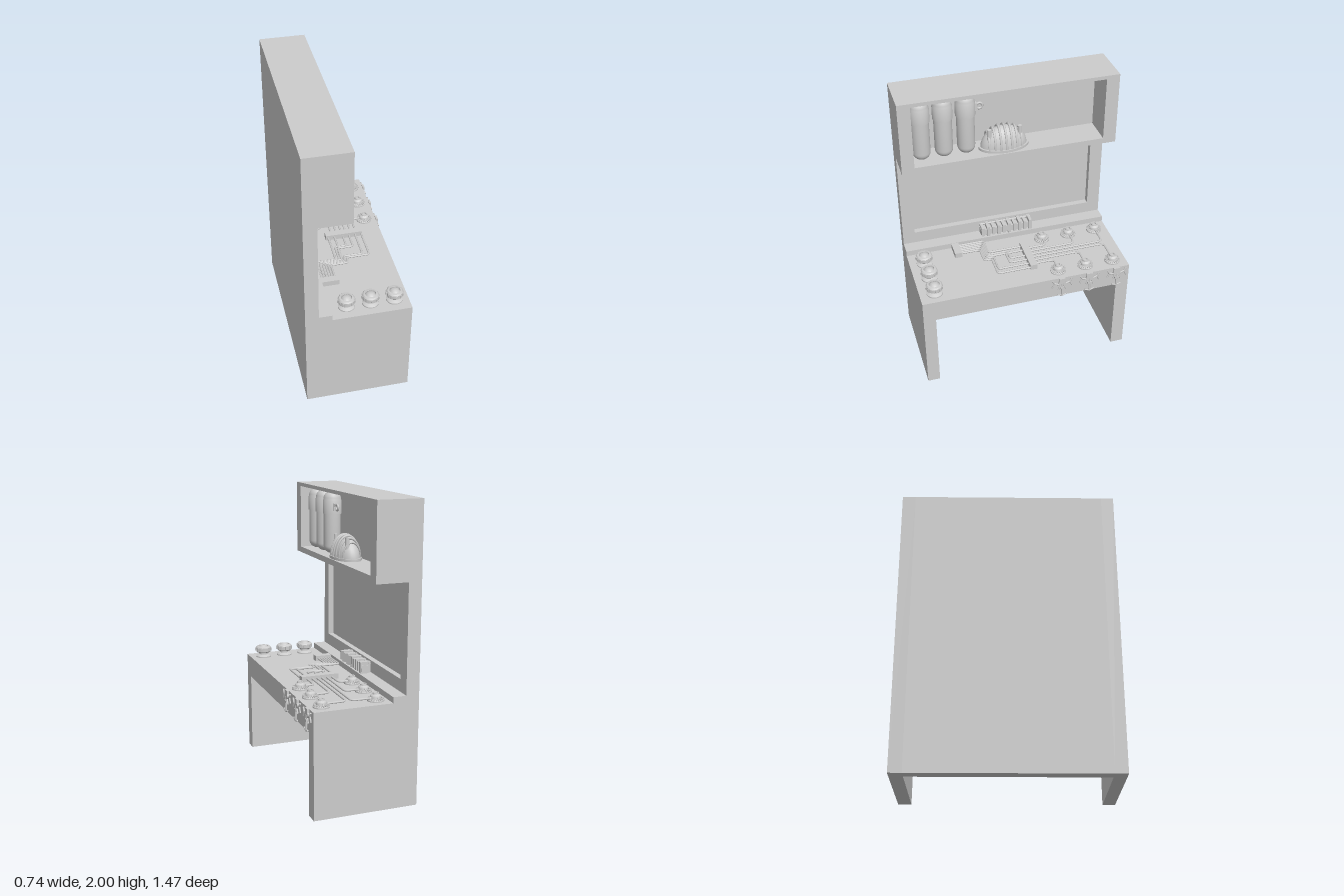
import * as THREE from 'three';
import { toCreasedNormals } from 'three/addons/utils/BufferGeometryUtils.js';

const material = new THREE.MeshStandardMaterial({ color: 0xcccccc, side: THREE.DoubleSide });
const V = (x, y, z) => new THREE.Vector3(x, y, z);

function add(parent, name, geometry, x = 0, y = 0, z = 0) {
  const mesh = new THREE.Mesh(geometry, material);
  mesh.name = name;
  mesh.position.set(x, y, z);
  parent.add(mesh);
  return mesh;
}
function addGroup(parent, name, x = 0, y = 0, z = 0) {
  const g = new THREE.Group();
  g.name = name;
  g.position.set(x, y, z);
  parent.add(g);
  return g;
}
const box = (p, name, w, h, d, x, y, z) => add(p, name, new THREE.BoxGeometry(w, h, d), x, y, z);
const lathe = (pts, n = 32) =>
  toCreasedNormals(new THREE.LatheGeometry(pts.map(([r, y]) => new THREE.Vector2(r, y)), n), 0.6);

// Straight round bar between two points
function bar(parent, name, a, b, r) {
  const d = b.clone().sub(a);
  const mesh = add(parent, name, new THREE.CylinderGeometry(r, r, d.length(), 10));
  mesh.position.copy(a).add(b).multiplyScalar(0.5);
  mesh.quaternion.setFromUnitVectors(V(0, 1, 0), d.normalize());
  return mesh;
}
// Pipe along a polyline with rounded corners
function pipe(parent, name, pts, r = 0.007, bend = 0.025) {
  const path = new THREE.CurvePath();
  let last = pts[0];
  for (let i = 1; i < pts.length - 1; i++) {
    const p = pts[i];
    const toward = q => p.clone().add(q.clone().sub(p).setLength(Math.min(bend, q.distanceTo(p) * 0.45)));
    const a = toward(pts[i - 1]), b = toward(pts[i + 1]);
    path.add(new THREE.LineCurve3(last, a));
    path.add(new THREE.QuadraticBezierCurve3(a, p, b));
    last = b;
  }
  path.add(new THREE.LineCurve3(last, pts[pts.length - 1]));
  add(parent, name, new THREE.TubeGeometry(path, 80, r, 8));
}
// Cabinet slice: an x-y profile extruded from z0 to z1
function slice(parent, name, pts, z0, z1) {
  const shape = new THREE.Shape(pts.map(p => new THREE.Vector2(...p)));
  add(parent, name, new THREE.ExtrudeGeometry(shape, { depth: z1 - z0, bevelEnabled: false }), 0, 0, z0);
}

// Burner: wide foot, toothed ring and narrow crown
function burner(parent, x, z) {
  const g = addGroup(parent, 'burner', x, 0.72, z);
  add(g, 'burnerBody', lathe([[0.055, 0], [0.055, 0.008], [0.045, 0.012], [0.033, 0.014], [0.03, 0.028],
    [0.036, 0.03], [0.034, 0.036], [0.022, 0.045], [0.02, 0.055], [0.014, 0.055], [0.012, 0.045], [0, 0.045]]));
  for (let i = 0; i < 20; i++) {
    const a = i * Math.PI / 10;
    box(g, 'burnerTooth', 0.014, 0.01, 0.005, 0.045 * Math.cos(a), 0.014, -0.045 * Math.sin(a)).rotation.y = a;
  }
  for (const s of [-1, 1]) bar(g, 'burnerBrace', V(0, 0.045, s * 0.018), V(0, 0.008, s * 0.046), 0.005);
}

// Hanging clamp under the front edge of the worktop
function clamp(parent, z) {
  const g = addGroup(parent, 'clamp', 0.354, 0, z);
  const hub = add(g, 'clampHub', new THREE.CylinderGeometry(0.026, 0.026, 0.014, 16), 0, 0.685, 0);
  hub.rotation.z = Math.PI / 2;
  box(g, 'clampPlate', 0.014, 0.045, 0.045, 0, 0.7, 0);
  bar(g, 'clampStem', V(0.003, 0.68, 0), V(0.007, 0.575, 0), 0.007);
  box(g, 'clampCollar', 0.016, 0.015, 0.03, 0.004, 0.645, 0);
  for (const s of [-1, 1]) {
    bar(g, 'clampArm', V(0, 0.67, s * 0.015), V(0, 0.687, s * 0.055), 0.007);
    bar(g, 'clampHand', V(0, 0.687, s * 0.055), V(0, 0.71, s * 0.068), 0.006);
    bar(g, 'clampFinger', V(0, 0.687, s * 0.055), V(0, 0.65, s * 0.072), 0.005);
    bar(g, 'clampLeg', V(0.002, 0.665, s * 0.012), V(0.002, 0.63, s * 0.028), 0.005);
    bar(g, 'clampFoot', V(0.007, 0.576, 0), V(0.007, 0.588, s * 0.034), 0.005);
  }
}

// Round valve with a thick drum and domed cap
function valve(parent, x) {
  const g = addGroup(parent, 'valve', x, 0.72, 0.63);
  add(g, 'valveBody', lathe([[0.055, 0], [0.055, 0.008], [0.04, 0.016], [0.03, 0.02], [0.03, 0.032], [0.048, 0.036],
    [0.055, 0.044], [0.055, 0.072], [0.048, 0.08], [0.036, 0.082], [0.034, 0.074], [0.03, 0.08], [0.018, 0.088], [0, 0.09]]));
  for (let i = 0; i < 12; i++) {
    const a = i * Math.PI / 6;
    box(g, 'valveLug', 0.01, 0.022, 0.012, 0.054 * Math.cos(a), 0.058, -0.054 * Math.sin(a)).rotation.y = a;
  }
}

// Storage tank with strap and outlet beneath the cabinet
function tank(parent, z) {
  const g = addGroup(parent, 'tank', -0.165, 0, z);
  const pts = [];
  for (let i = 0; i <= 8; i++) {
    const a = i * Math.PI / 16;
    pts.push([0.06 * Math.sin(a), 1.585 - 0.055 * Math.cos(a)]);
  }
  pts.push([0.06, 1.81], [0.066, 1.81], [0.066, 1.9]);
  for (let i = 0; i <= 8; i++) {
    const a = i * Math.PI / 16;
    pts.push([0.062 * Math.cos(a), 1.91 + 0.062 * Math.sin(a)]);
  }
  add(g, 'tankShell', lathe(pts));
  add(g, 'tankOutlet', lathe([[0, 1.476], [0.028, 1.476], [0.03, 1.466], [0.042, 1.468], [0.046, 1.49], [0, 1.49]]));
  const hook = add(g, 'outletHook', new THREE.TorusGeometry(0.018, 0.005, 8, 16), -0.085, 1.459, 0);
  hook.rotation.y = Math.PI / 2;
  box(g, 'hookMount', 0.02, 0.018, 0.06, -0.085, 1.481, 0);
}

export function createModel() {
  const model = new THREE.Group();
  model.name = 'workbench';

  // Cabinet: solid ends, recessed middle
  const cabinet = addGroup(model, 'cabinet');
  const end = [[-0.37, 0], [0.345, 0], [0.345, 0.72], [-0.19, 0.72], [-0.19, 0.76], [-0.28, 0.76],
    [-0.28, 1.49], [-0.06, 1.49], [-0.06, 2], [-0.37, 2]];
  const middle = [[-0.37, 0], [-0.29, 0], [-0.29, 0.565], [0.345, 0.565], [0.345, 0.72], [-0.19, 0.72],
    [-0.19, 0.76], [-0.28, 0.76], [-0.28, 0.845], [-0.32, 0.845], [-0.32, 1.42], [-0.28, 1.42], [-0.28, 1.49],
    [-0.06, 1.49], [-0.06, 1.53], [-0.27, 1.53], [-0.27, 1.975], [-0.06, 1.975], [-0.06, 2], [-0.37, 2]];
  slice(cabinet, 'rightEnd', end, -0.735, -0.645);
  slice(cabinet, 'middleSection', middle, -0.645, 0.65);
  slice(cabinet, 'leftEnd', end, 0.65, 0.735);

  // Burners, their supply pipes and the clamps
  const y = 0.738;
  [-0.64, -0.44, -0.24].forEach((z, i) => {
    burner(model, 0.26, z);
    burner(model, -0.11, z);
    clamp(model, z);
    const back = 0.058 - i * 0.036, front = 0.09 + i * 0.036;
    pipe(model, 'backSupplyPipe', [V(-0.09, y, z), V(back, y, z), V(back, y, -0.09)], 0.007, 0.035);
    pipe(model, 'frontSupplyPipe', [V(0.22, y, z), V(front, y, z), V(front, y, -0.09)], 0.007, 0.035);
  });

  // Manifold, stepped pipes and junction box
  box(model, 'manifold', 0.265, 0.038, 0.05, 0.07, 0.739, -0.085);
  box(model, 'junctionBox', 0.13, 0.038, 0.05, -0.135, 0.739, 0.385);
  [[-0.045, -0.045, 0.1], [0.0, 0.0, 0.1], [0.06, -0.022, 0.045], [0.105, -0.005, 0.062],
    [0.15, 0.015, 0.155], [0.195, 0.033, 0.172]].forEach(([x0, x1, z1], i) => {
    const z2 = 0.172 + i * 0.01, x2 = -0.18 + i * 0.018;
    const pts = [V(x0, y, -0.08)];
    if (x0 !== x1) pts.push(V(x0, y, z1), V(x1, y, z1));
    pts.push(V(x1, y, z2 + 0.005), V(x2, y, z2 + 0.005), V(x2, y, 0.38));
    pipe(model, 'manifoldPipe', pts, 0.007, 0.018);
  });

  // Finned block on the ledge
  const fins = addGroup(model, 'finnedBlock', -0.23, 0, -0.005);
  box(fins, 'finCore', 0.055, 0.045, 0.38, 0, 0.797, 0);
  for (let i = 0; i < 10; i++) {
    const z = -0.175 + i * 0.039;
    box(fins, 'fin', 0.075, i % 2 ? 0.065 : 0.078, 0.022, 0, 0.805, z);
    box(fins, 'finFoot', 0.05, 0.02, 0.01, 0, 0.768, z);
  }
  bar(fins, 'finRail', V(-0.03, 0.832, -0.19), V(-0.03, 0.832, 0.19), 0.008);

  for (const x of [0.25, 0.087, -0.075]) valve(model, x);
  for (const z of [0.58, 0.43, 0.28]) tank(model, z);

  // Bracket beside the last tank
  const bracket = add(model, 'tankBracket', new THREE.TorusGeometry(0.02, 0.008, 8, 20), -0.165, 1.86, 0.185);
  bracket.rotation.y = Math.PI / 2;
  box(model, 'bracketArm', 0.03, 0.05, 0.03, -0.165, 1.86, 0.217);

  // Ribbed dome on the shelf
  const dome = addGroup(model, 'dome', -0.165, 1.53, 0.025);
  const shell = add(dome, 'domeShell', new THREE.SphereGeometry(1, 32, 12, 0, Math.PI * 2, 0, Math.PI / 2));
  shell.scale.set(0.088, 0.155, 0.16);
  const rim = add(dome, 'domeRim', new THREE.CylinderGeometry(1, 1, 0.018, 32), 0, 0.009, 0);
  rim.scale.set(0.097, 1, 0.172);
  for (let i = -3; i <= 3; i++) {
    const z = i * 0.037, k = Math.sqrt(1 - (z / 0.165) ** 2);
    const rib = add(dome, 'domeRib', new THREE.TorusGeometry(1, 0.07, 6, 24, Math.PI), 0, 0.012, z);
    rib.scale.set(0.088 * k, 0.15 * k, 0.12);
  }
  for (const z of [-0.105, 0.105])
    add(dome, 'domeStub', new THREE.CylinderGeometry(0.014, 0.016, 0.09, 16), 0.03, 0.11, z);

  // Joined discs under the cabinet
  for (const z of [0.13, -0.09]) {
    add(model, 'lampDisc', lathe([[0, 1.482], [0.025, 1.482], [0.028, 1.474], [0.04, 1.476], [0.046, 1.49], [0, 1.49]]), -0.165, 0, z);
  }
  bar(model, 'lampRod', V(-0.165, 1.485, 0.1), V(-0.165, 1.485, -0.06), 0.008);

  return model;
}
